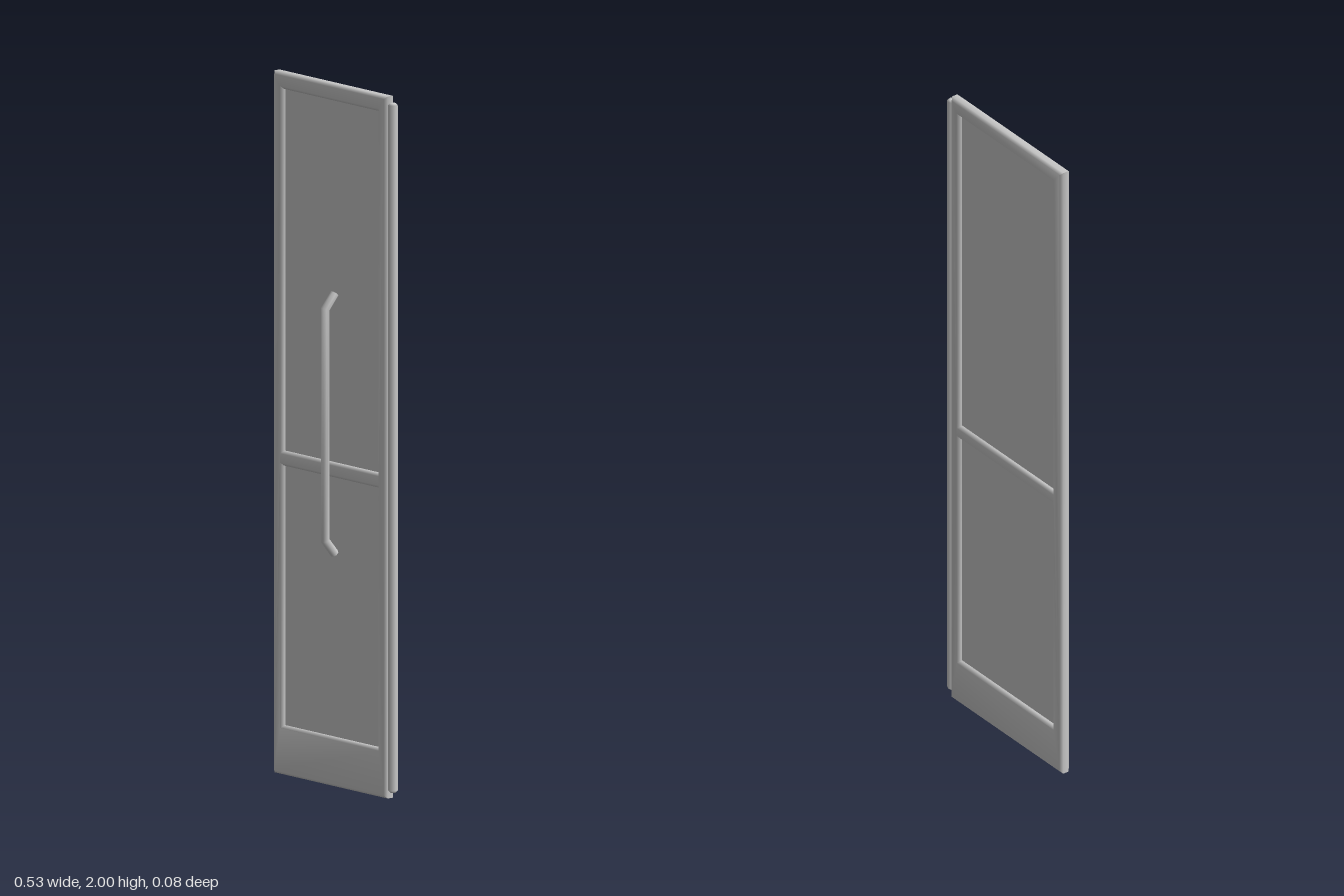
import * as THREE from 'three';
import { toCreasedNormals } from 'three/addons/utils/BufferGeometryUtils.js';

const grey = new THREE.MeshStandardMaterial({ name: 'doorGrey', color: 0xcacaca });

const MID_Z = -0.024; // middle plane of the door leaf
const DEPTH = 0.034;
const BEVEL = 0.008;
const CREASE = 1; // radians; softens the 45 degree chamfers only

// Fill a Shape or Path with a rectangle
function rect(path, x0, y0, x1, y1) {
  path.moveTo(x0, y0);
  path.lineTo(x1, y0);
  path.lineTo(x1, y1);
  path.lineTo(x0, y1);
  path.closePath();
  return path;
}

function add(group, name, geometry) {
  const mesh = new THREE.Mesh(geometry, grey);
  mesh.name = name;
  group.add(mesh);
  return mesh;
}

export function createModel() {
  const door = new THREE.Group();
  door.name = 'door';

  // Openings of the frame: x0, y0, x1, y1
  const openings = {
    lowerPanel: [-0.223, 0.14, 0.2, 0.88],
    upperPanel: [-0.223, 0.922, 0.2, 1.953],
  };

  // Chamfered frame with stiles, rails and a tall kick rail
  const outline = rect(new THREE.Shape(), -0.265, 0, 0.239, 2);
  for (const o of Object.values(openings)) outline.holes.push(rect(new THREE.Path(), ...o));
  const frame = new THREE.ExtrudeGeometry(outline, {
    depth: DEPTH - 2 * BEVEL,
    bevelThickness: BEVEL,
    bevelSize: BEVEL,
    bevelOffset: -BEVEL,
    bevelSegments: 1,
  });
  frame.translate(0, 0, MID_Z - DEPTH / 2 + BEVEL);
  add(door, 'frame', toCreasedNormals(frame, CREASE));

  // Thin panels set into the openings
  for (const [name, [x0, y0, x1, y1]] of Object.entries(openings)) {
    const panel = add(door, name, new THREE.BoxGeometry(x1 - x0 + 0.01, y1 - y0 + 0.01, 0.008));
    panel.position.set((x0 + x1) / 2, (y0 + y1) / 2, MID_Z);
  }

  // Pivot rod along the left edge, with tapered ends
  const rodProfile = [[0, 0.018], [0.008, 0.018], [0.0135, 0.024], [0.0135, 1.976], [0.008, 1.982], [0, 1.982]];
  const rod = new THREE.LatheGeometry(rodProfile.map(([r, y]) => new THREE.Vector2(r, y)), 8);
  add(door, 'pivotRod', rod).position.set(0.2515, 0, MID_Z);

  // Pull handle: octagonal rings along a bent path, mitred at the bends
  const R = 0.0125;
  const SIDES = 8;
  const path = [[0.665, -0.007], [0.706, 0.027], [1.365, 0.027], [1.406, -0.007]];
  const points = path.map(([y, z]) => new THREE.Vector3(0.0125, y, z));
  const positions = [];
  const index = [];
  points.forEach((p, i) => {
    const before = p.clone().sub(points[Math.max(i - 1, 0)]).normalize();
    const after = points[Math.min(i + 1, 3)].clone().sub(p).normalize();
    const t = before.clone().add(after).normalize();
    const miter = R / Math.max(t.dot(after), t.dot(before));
    for (let k = 0; k < SIDES; k++) {
      const a = ((k + 0.5) / SIDES) * Math.PI * 2;
      const out = Math.sin(a) * miter;
      positions.push(p.x + Math.cos(a) * R, p.y - t.z * out, p.z + t.y * out);
      const n = (k + 1) % SIDES;
      const b = i * SIDES;
      if (i < 3) index.push(b + k, b + SIDES + k, b + n, b + n, b + SIDES + k, b + SIDES + n);
    }
  });
  for (let k = 1; k < SIDES - 1; k++) {
    const e = 3 * SIDES;
    index.push(0, k, k + 1, e, e + k + 1, e + k);
  }
  const handle = new THREE.BufferGeometry();
  handle.setAttribute('position', new THREE.Float32BufferAttribute(positions, 3));
  handle.setIndex(index);
  add(door, 'pullHandle', toCreasedNormals(handle, CREASE));

  return door;
}
